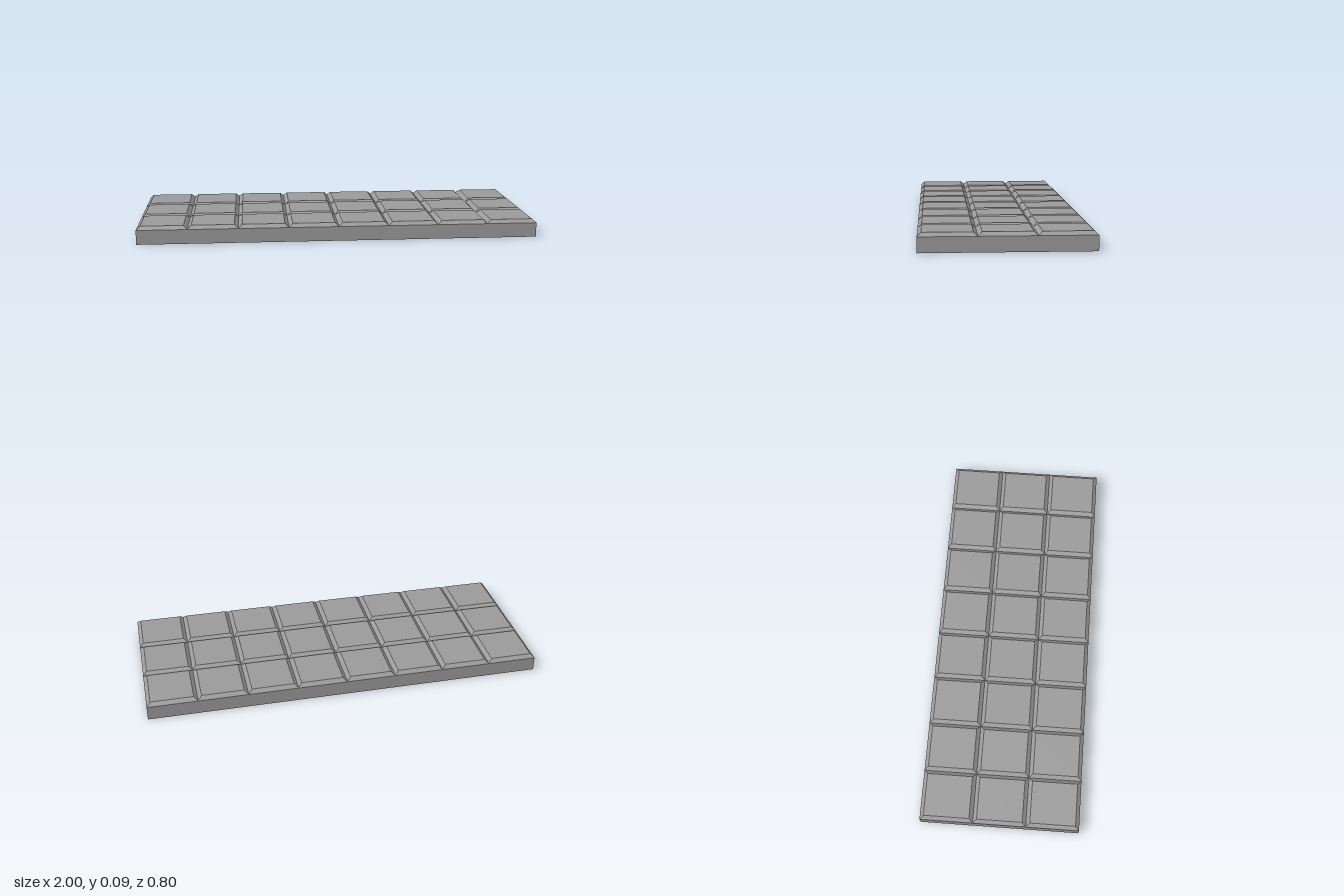
import * as THREE from 'three';

const LENGTH = 2, DEPTH = 0.8, BASE = 0.072, TILE = 0.017, BEVEL = 0.019;
const COLS = 8, ROWS = 3;

// Box standing on y = 0 whose top edges are drawn in by a bevel
function bevelledTile(w, h, d, bevel) {
  const geometry = new THREE.BoxGeometry(w, h, d).translate(0, h / 2, 0);
  const p = geometry.attributes.position;
  for (let i = 0; i < p.count; i++) {
    if (p.getY(i) < h / 2) continue;
    p.setX(i, p.getX(i) - Math.sign(p.getX(i)) * bevel);
    p.setZ(i, p.getZ(i) - Math.sign(p.getZ(i)) * bevel);
  }
  geometry.computeVertexNormals();
  return geometry;
}

export function createModel() {
  const bar = new THREE.Group();
  bar.name = 'segmentedBar';
  const material = new THREE.MeshStandardMaterial({ color: 0x9b9b9b, flatShading: true });

  // Solid slab under the segments
  const slab = new THREE.Mesh(new THREE.BoxGeometry(LENGTH, BASE, DEPTH), material);
  slab.name = 'slab';
  slab.position.y = BASE / 2;
  bar.add(slab);

  // Grid of bevelled segments; neighbouring bevels form the V grooves
  const w = LENGTH / COLS, d = DEPTH / ROWS;
  const tileGeometry = bevelledTile(w, TILE, d, BEVEL);
  const segments = new THREE.Group();
  segments.name = 'segments';
  for (let row = 0; row < ROWS; row++) {
    for (let col = 0; col < COLS; col++) {
      const tile = new THREE.Mesh(tileGeometry, material);
      tile.name = `segment_${row + 1}_${col + 1}`;
      tile.position.set((col + 0.5) * w - LENGTH / 2, BASE, (row + 0.5) * d - DEPTH / 2);
      segments.add(tile);
    }
  }
  bar.add(segments);
  return bar;
}
